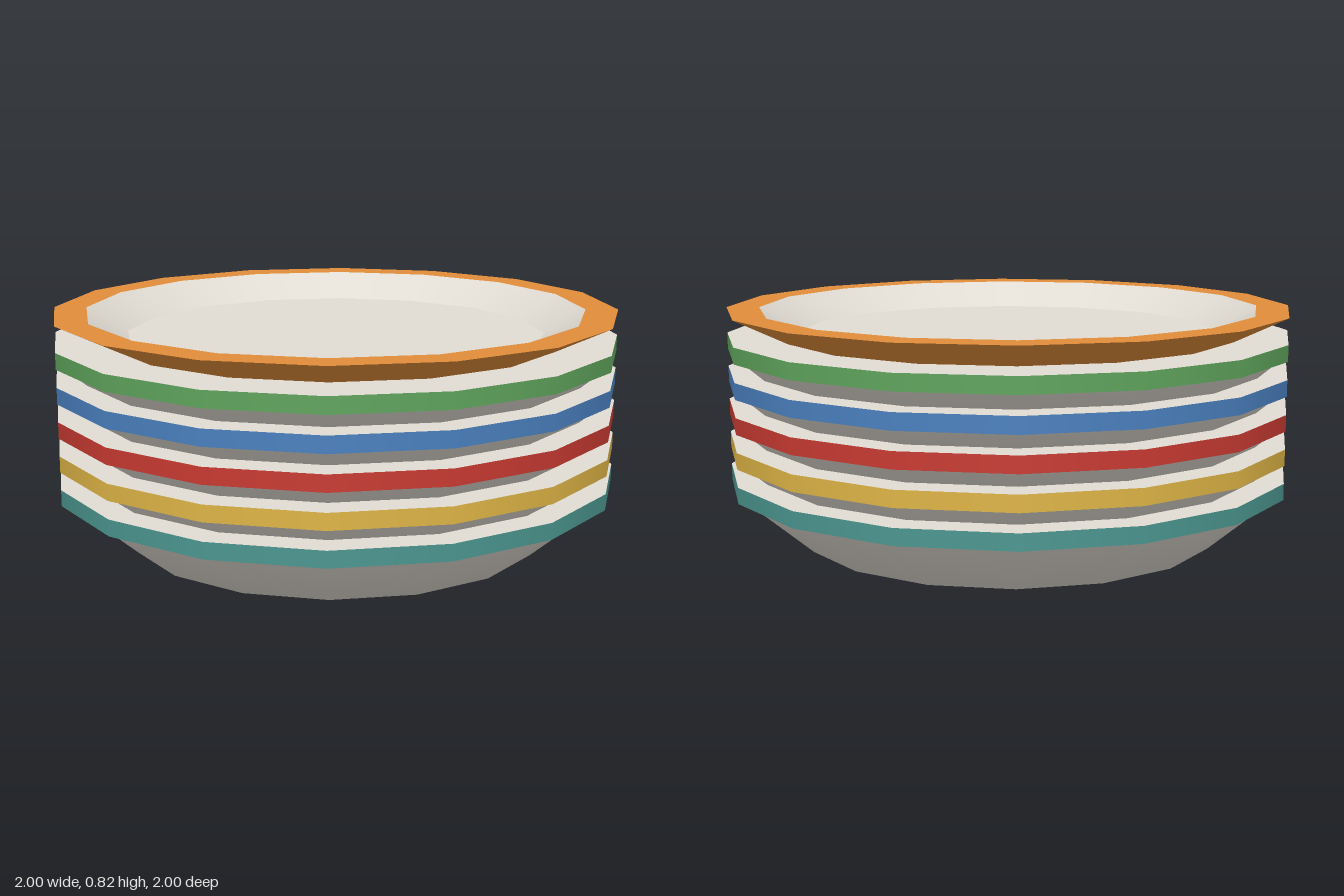
import * as THREE from 'three';

const SIDES = 16;
const PITCH = 0.119;

function material(name, color) {
  const m = new THREE.MeshStandardMaterial({ color });
  m.name = name;
  return m;
}

// Turned surface; profile points are [radius, height], smooth along the profile
function turned(name, mat, ...profile) {
  const points = profile.map(([r, y]) => new THREE.Vector2(r, y));
  const mesh = new THREE.Mesh(new THREE.LatheGeometry(points, SIDES), mat);
  mesh.name = name;
  return mesh;
}

export function createModel() {
  const model = new THREE.Group();
  model.name = 'plateStack';

  const cream = material('cream', 0xe0dbd2);
  const orange = material('orange', 0xe08c3a);
  const bands = [
    material('teal', 0x4c9690),
    material('yellow', 0xdfb546),
    material('red', 0xc93a32),
    material('blue', 0x4a80bf),
    material('green', 0x5fa45c),
  ];

  // Five nested plates, each with a coloured rim band
  bands.forEach((colour, i) => {
    const plate = new THREE.Group();
    plate.name = `${colour.name}Plate`;
    plate.position.y = i * PITCH;
    plate.add(
      turned('underside', cream, [0, 0], [0.74, 0], [0.97, 0.197]),
      turned('bandUnderside', colour, [0.965, 0.197], [1, 0.197]),
      turned('band', colour, [1, 0.197], [1, 0.254]),
      turned('rimTop', cream, [1, 0.254], [0.8, 0.254]),
      turned('wellWall', cream, [0.8, 0.254], [0.72, 0.117]),
      turned('wellFloor', cream, [0.72, 0.117], [0, 0.117]),
    );
    model.add(plate);
  });

  // Top plate: shallow bowl with a sharp flared orange rim
  const top = new THREE.Group();
  top.name = 'topPlate';
  top.add(
    turned('underside', orange, [0, 0.695], [0.74, 0.695]),
    turned('flare', orange, [0.74, 0.695], [1, 0.82]),
    turned('rim', orange, [1, 0.82], [0.885, 0.82]),
    turned('bowlWall', cream, [0.885, 0.82], [0.74, 0.735]),
    turned('bowlFloor', cream, [0.74, 0.735], [0, 0.735]),
  );
  model.add(top);

  return model;
}
